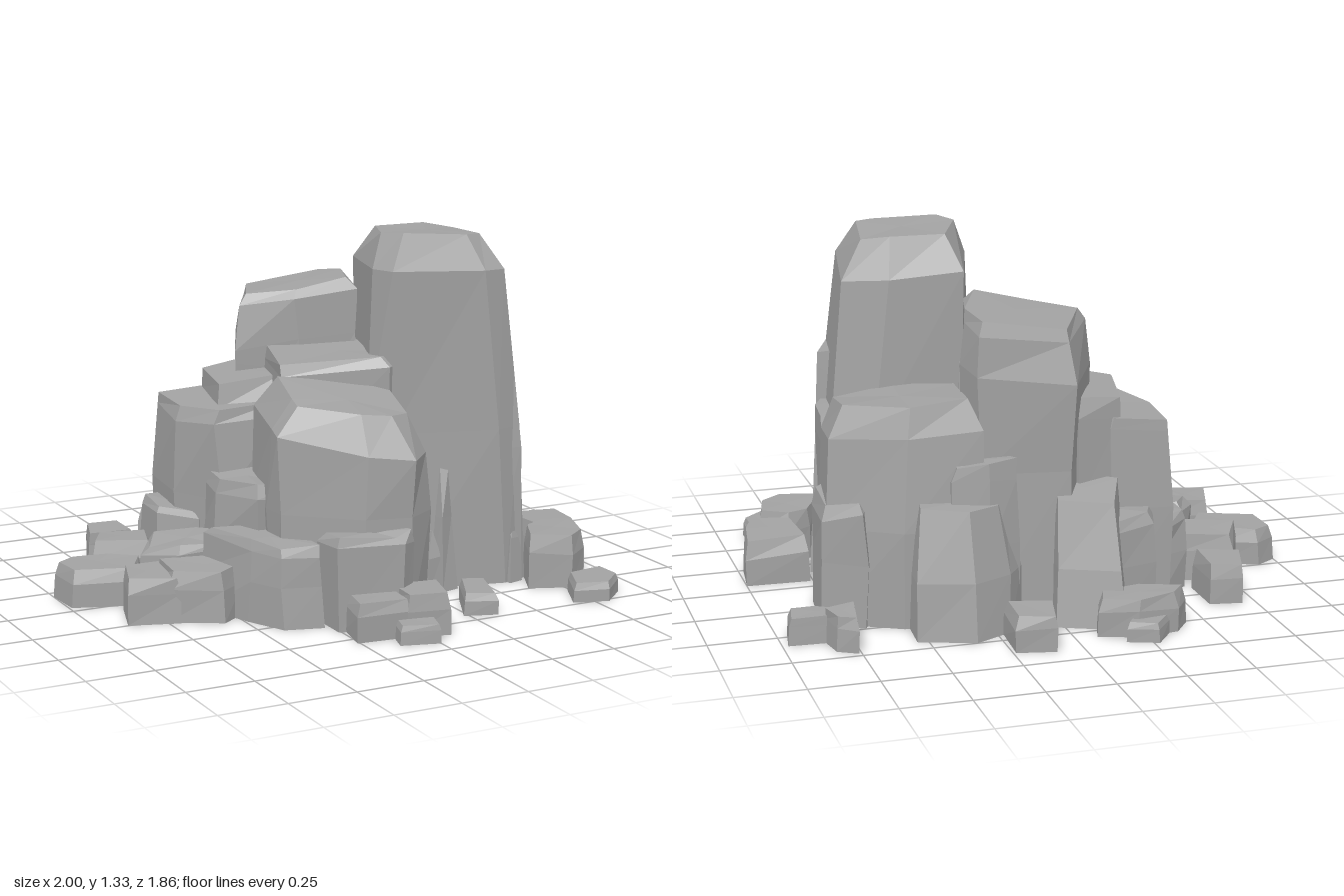
import * as THREE from 'three';

// Rings from bottom to top: [height fraction, x scale, z scale (same as x if left out)]
const TOWER = [[0, 1.02], [0.45, 0.96, 1], [0.9, 0.84, 0.97], [1, 0.6, 0.68]];
const BLOCK = [[0, 1], [0.5, 1], [0.88, 0.96], [1, 0.84]];
const SLANTED = [[0, 1], [0.45, 0.97], [1, 0.78]];
const STONE = [[0, 1], [0.65, 0.98], [1, 0.87]];

// Cuts a polygon by a plane into the parts in front of it and behind it
function split(poly, plane) {
  const front = [], back = [];
  poly.forEach((p, i) => {
    const q = poly[(i + 1) % poly.length];
    const dp = plane.distanceToPoint(p), dq = plane.distanceToPoint(q);
    if (dp >= 0) front.push(p);
    if (dp <= 0) back.push(p);
    if (dp * dq < 0) {
      const cut = p.clone().lerp(q, dp / (dp - dq));
      front.push(cut);
      back.push(cut);
    }
  });
  return [front, back];
}

// Removes the part of a polygon that is buried in another rock
function trim(poly, other) {
  const kept = [];
  let rest = poly;
  for (const plane of other.planes) {
    const [front, back] = split(rest, plane);
    if (back.length < 3) return [poly];
    if (front.length > 2) kept.push(front);
    rest = back;
  }
  return kept;
}

export function createModel() {
  const group = new THREE.Group();
  const stone = new THREE.MeshStandardMaterial({ color: 0xa2a2a2 });
  stone.name = 'grey stone';
  stone.flatShading = true;
  stone.side = THREE.DoubleSide;

  let seed = 7;
  const rand = () => {
    seed = (seed * 16807) % 2147483647;
    return seed / 2147483647 - 0.5;
  };
  const rocks = [];

  // A faceted rock: an [x, z] outline lofted through rings, open underneath.
  // tilt is the slope of the upper rings along x and z; shift moves the top.
  function rock(name, outline, height, rings = STONE, tilt = [0, 0], shift = [0, 0]) {
    const n = outline.length;
    let area = 0, cx = 0, cz = 0;
    outline.forEach(([x, z], i) => {
      const [x2, z2] = outline[(i + 1) % n];
      area += x * z2 - x2 * z;
      cx += x / n;
      cz += z / n;
    });
    const pts = area > 0 ? [...outline].reverse() : outline;
    const rough = Math.min(0.025, height * 0.08);
    const levels = rings.map(([f, sx, sz = sx], k) => pts.map(([x, z]) => {
      const j = k === 0 ? 0 : rough;
      const px = (x - cx) * sx + rand() * j, pz = (z - cz) * sz + rand() * j;
      const y = f * height + (f > 0.6 ? px * tilt[0] + pz * tilt[1] + rand() * j : 0);
      return new THREE.Vector3(cx + px + shift[0] * f, Math.max(0, y), cz + pz + shift[1] * f);
    }));
    const faces = [];
    const top = levels[levels.length - 1];
    const peak = top.reduce((sum, p) => sum.addScaledVector(p, 1 / n), new THREE.Vector3());
    for (let i = 0; i < n; i++) {
      const m = (i + 1) % n;
      for (let k = 0; k < levels.length - 1; k++) {
        const a = levels[k], b = levels[k + 1];
        faces.push([a[i], a[m], b[m]], [a[i], b[m], b[i]]);
      }
      faces.push([peak, top[i], top[m]]);
    }
    const planes = faces.map((f) => new THREE.Plane().setFromCoplanarPoints(...f));
    rocks.push({ name, faces, planes });
  }

  // Main towers and shoulders
  rock('mainTower', [[0.25, -0.15], [0.58, -0.14], [0.75, -0.05], [0.68, 0.36], [0.58, 0.39], [0.17, 0.29], [0.12, 0.18]],
    1.32, TOWER, [-0.04, 0.04], [-0.07, 0]);
  rock('towerSlab', [[0.53, 0.36], [0.66, 0.38], [0.74, 0.16], [0.6, 0.1]], 0.86, [[0, 1], [0.6, 0.97], [1, 0.85]], [0, 0], [-0.03, 0]);
  rock('backTower', [[-0.06, -0.58], [0.27, -0.53], [0.3, -0.38], [0.2, -0.08], [-0.03, -0.14], [-0.22, -0.26]],
    1.08, [[0, 1], [0.5, 1.01], [0.82, 1], [0.96, 0.93], [1, 0.84]], [0.12, 0.08]);
  rock('middleBlock', [[-0.13, -0.24], [0.25, -0.16], [0.28, 0.2], [0.13, 0.29], [-0.23, 0.13]],
    0.88, [[0, 1], [0.5, 1], [0.95, 0.99], [1, 0.94]], [0.04, 0]);
  rock('rightShoulder', [[0.28, -0.58], [0.55, -0.54], [0.81, -0.4], [0.78, -0.12], [0.5, -0.06], [0.25, -0.2]],
    0.79, [[0, 1.01], [0.45, 1], [0.86, 0.95], [1, 0.8]], [-0.06, -0.08], [-0.03, 0]);
  rock('frontShoulder', [[-0.36, 0.32], [-0.3, 0.04], [0.12, 0.14], [0.2, 0.3], [0.14, 0.58], [0.03, 0.67], [-0.13, 0.63], [-0.37, 0.42]],
    0.77, [[0, 0.98], [0.5, 1], [0.84, 1], [1, 0.72]], [-0.06, -0.13], [-0.01, 0.01]);
  rock('leftShoulder', [[-0.47, -0.48], [-0.25, -0.46], [-0.1, -0.25], [-0.16, 0.03], [-0.42, 0], [-0.5, -0.2]],
    0.69, [[0, 1], [0.5, 1], [0.92, 0.99], [1, 0.92]], [0.06, 0]);
  rock('leftUpperBlock', [[-0.3, -0.45], [-0.12, -0.5], [0, -0.2], [-0.14, 0.02], [-0.39, -0.09]],
    0.78, BLOCK, [0.1, 0]);

  // Lower buttresses around the base
  rock('leftButtress', [[-0.56, -0.4], [-0.45, -0.46], [-0.36, -0.2], [-0.46, -0.08], [-0.58, -0.22]], 0.29, BLOCK);
  rock('leftFrontButtress', [[-0.45, -0.1], [-0.25, -0.08], [-0.2, 0.3], [-0.4, 0.3], [-0.48, 0.08]], 0.46, BLOCK);
  rock('backButtress', [[-0.2, -0.78], [0.03, -0.68], [0, -0.5], [-0.14, -0.42], [-0.29, -0.52]], 0.46, SLANTED, [0, 0.2], [0, 0.06]);
  rock('backLeftButtress', [[-0.37, -0.6], [-0.22, -0.64], [-0.14, -0.45], [-0.28, -0.36], [-0.42, -0.44]], 0.36, BLOCK);
  rock('backRightButtress', [[0.2, -0.68], [0.34, -0.75], [0.54, -0.68], [0.53, -0.52], [0.3, -0.48], [0.13, -0.58]],
    0.46, SLANTED, [0, 0.15], [0, 0.05]);
  rock('backRightBlock', [[0.14, -0.59], [0.26, -0.62], [0.38, -0.59], [0.36, -0.45], [0.16, -0.45]], 0.6, BLOCK);
  rock('rightButtress', [[0.68, -0.5], [0.82, -0.4], [0.8, -0.16], [0.7, -0.1], [0.6, -0.3]], 0.46, BLOCK, [-0.2, 0]);
  rock('rightRib', [[0.62, -0.12], [0.76, -0.08], [0.74, 0.1], [0.68, 0.26], [0.58, 0.2]], 0.68, BLOCK, [-0.2, 0], [-0.02, 0]);
  rock('frontLedge', [[-0.26, 0.5], [0, 0.54], [0.02, 0.68], [-0.04, 0.72], [-0.26, 0.66]], 0.34, [[0, 1], [0.9, 0.99], [1, 0.9]]);
  rock('frontLeftBlock', [[-0.57, 0.18], [-0.38, 0.18], [-0.27, 0.4], [-0.28, 0.59], [-0.42, 0.55], [-0.49, 0.4]], 0.3, BLOCK, [0, -0.06]);

  // Thin spikes leaning on the front walls: x, z, half width, height
  [[0.19, 0.4, 0.05, 0.3], [0.27, 0.36, 0.05, 0.22], [0.34, 0.35, 0.05, 0.46], [0.62, 0.37, 0.04, 0.28]]
    .forEach(([x, z, r, h]) => rock('wallSpike', [[x - r, z - r], [x + r, z - r * 0.8], [x + r * 0.9, z + r * 0.6], [x - r * 0.6, z + r]],
      h, [[0, 1], [0.6, 0.9], [1, 0.5]], [0, 0], [0, -0.03]));

  // Rubble on the left
  rock('rubble', [[-0.66, -0.12], [-0.48, -0.07], [-0.4, 0.05], [-0.48, 0.17], [-0.65, 0.15], [-0.74, 0.02]], 0.23, BLOCK, [0.1, 0]);
  rock('rubble', [[-0.83, 0.06], [-0.7, 0.09], [-0.71, 0.31], [-0.89, 0.25]], 0.17);
  rock('rubble', [[-0.72, 0.1], [-0.52, 0.17], [-0.46, 0.3], [-0.57, 0.38], [-0.75, 0.28]], 0.19);
  rock('rubble', [[-0.92, -0.25], [-0.78, -0.19], [-0.68, -0.1], [-0.76, 0.04], [-0.99, -0.04], [-1, -0.2]], 0.14);
  rock('rubble', [[-0.76, -0.39], [-0.57, -0.33], [-0.63, -0.14], [-0.83, -0.23]], 0.18);
  rock('rubble', [[-0.7, -0.63], [-0.58, -0.61], [-0.58, -0.42], [-0.76, -0.46]], 0.15);

  // Rubble at the back
  rock('rubble', [[-0.37, -0.84], [-0.22, -0.86], [-0.08, -0.81], [-0.11, -0.71], [-0.27, -0.69], [-0.43, -0.76]], 0.14);
  rock('rubble', [[-0.27, -0.93], [-0.16, -0.89], [-0.2, -0.82], [-0.34, -0.84]], 0.07);
  rock('rubble', [[0.1, -0.91], [0.24, -0.88], [0.23, -0.69], [0.06, -0.75]], 0.13);
  rock('rubble', [[0.76, -0.73], [0.83, -0.69], [0.85, -0.58], [0.73, -0.56]], 0.13);
  rock('rubble', [[0.8, -0.6], [0.98, -0.59], [0.96, -0.47], [0.86, -0.47], [0.75, -0.55]], 0.1);

  // Rubble on the right
  rock('rubble', [[0.76, 0.06], [1, 0.07], [0.98, 0.25], [0.91, 0.43], [0.78, 0.33]], 0.17, STONE, [-0.05, 0]);
  rock('rubble', [[0.7, 0.33], [0.79, 0.28], [0.91, 0.34], [0.87, 0.49], [0.77, 0.56], [0.62, 0.5]], 0.2);
  rock('rubble', [[0.74, 0.58], [0.9, 0.56], [0.9, 0.68], [0.8, 0.77], [0.67, 0.73]], 0.07);

  // Rubble at the front
  rock('rubble', [[0.32, 0.5], [0.41, 0.53], [0.35, 0.73], [0.23, 0.69]], 0.08);
  rock('rubble', [[-0.23, 0.64], [-0.05, 0.66], [-0.06, 0.82], [-0.26, 0.8]], 0.14);
  rock('rubble', [[-0.05, 0.64], [0.12, 0.68], [0.08, 0.86], [-0.07, 0.82]], 0.15);
  rock('rubble', [[-0.11, 0.78], [0.04, 0.8], [0, 0.93], [-0.14, 0.89]], 0.07);

  // Join the rocks into one hollow shell by trimming what lies inside a neighbour
  for (const { name, faces, planes } of rocks) {
    let polys = faces;
    for (const other of rocks) {
      if (other.planes !== planes) polys = polys.flatMap((p) => trim(p, other));
    }
    const points = polys.flatMap((p) => p.slice(2).flatMap((q, i) => [p[0], p[i + 1], q]));
    if (points.length === 0) continue;
    const geo = new THREE.BufferGeometry().setFromPoints(points);
    geo.computeVertexNormals();
    const mesh = new THREE.Mesh(geo, stone);
    mesh.name = name;
    group.add(mesh);
  }
  return group;
}
